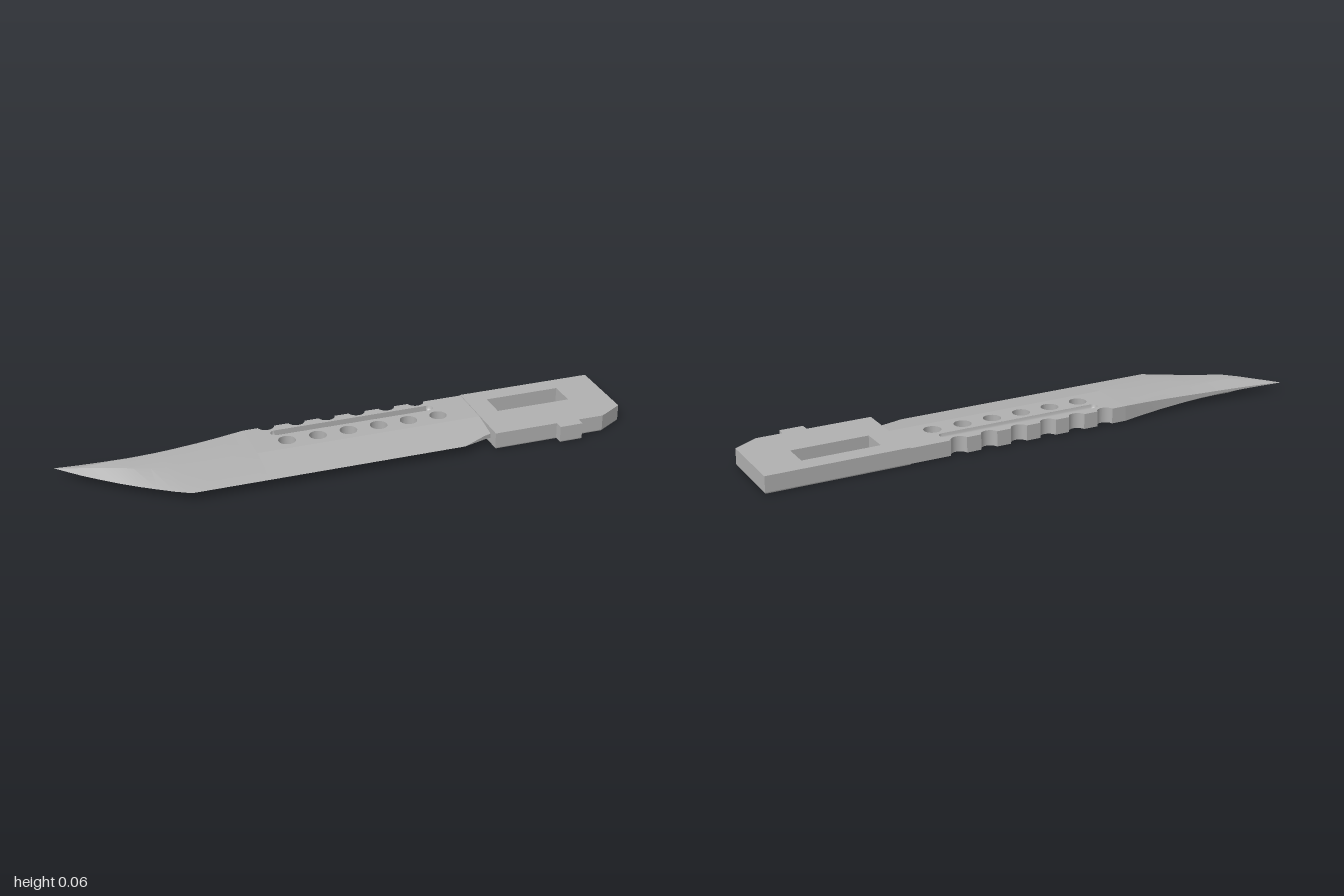
import * as THREE from 'three';
import { toCreasedNormals } from 'three/addons/utils/BufferGeometryUtils.js';

const MID = 0.032;    // height of the cutting edge
const HALF = 0.0275;  // half the blade thickness
const EDGE = 0.146;   // z of the cutting edge
const SPINE = 0.176;  // distance of the spine behind the centre line

// Flat outline (x, -z) raised between two heights
function plate(shape, y0, y1, options = {}) {
  const geo = new THREE.ExtrudeGeometry(shape, {
    depth: y1 - y0, bevelEnabled: false, curveSegments: 24, ...options,
  });
  return geo.rotateX(-Math.PI / 2).translate(0, y0, 0);
}

// Skin through cross-sections; each section is { x, ring: [[z, halfHeight], ...] },
// listed from spine to edge and mirrored to the underside
function loft(sections) {
  const rings = sections.map(({ x, ring }) => [
    ...ring.map(([z, h]) => [x, MID + h, z]),
    ...[...ring].reverse().map(([z, h]) => [x, MID - h, z]),
  ]);
  const pos = [];
  const n = rings[0].length;
  for (let i = 0; i < rings.length - 1; i++) {
    for (let j = 0; j < n; j++) {
      const k = (j + 1) % n;
      const a = rings[i][j], b = rings[i][k], c = rings[i + 1][k], d = rings[i + 1][j];
      pos.push(...a, ...b, ...c, ...a, ...c, ...d);
    }
  }
  const geo = new THREE.BufferGeometry();
  geo.setAttribute('position', new THREE.Float32BufferAttribute(pos, 3));
  return toCreasedNormals(geo, 0.3);
}

// Round-bottomed trough with rounded ends, sunk below y = 0
function trough(x0, x1, z, r) {
  const geo = new THREE.PlaneGeometry(1, 1, 40, 8);
  const p = geo.attributes.position;
  for (let i = 0; i < p.count; i++) {
    const angle = (p.getX(i) + 0.25) * Math.PI * 2;
    const rho = p.getY(i) + 0.5;
    const cx = Math.cos(angle) > 0 ? x1 - r : x0 + r;
    p.setXYZ(i, cx + r * rho * Math.cos(angle),
      -r * Math.sqrt(Math.max(0, 1 - rho * rho)), z + r * rho * Math.sin(angle));
  }
  geo.computeVertexNormals();
  return geo;
}

export function createModel() {
  const group = new THREE.Group();
  const steel = new THREE.MeshStandardMaterial({ color: 0xb0b0b0, side: THREE.DoubleSide });
  steel.name = 'grey steel';
  const add = (name, geo) => {
    const mesh = new THREE.Mesh(geo, steel);
    mesh.name = name;
    group.add(mesh);
    return mesh;
  };

  // Blade body: notched spine, round holes and a long groove
  const body = new THREE.Shape();
  body.moveTo(-0.33, 0);
  body.lineTo(0.5, 0);
  body.lineTo(0.5, SPINE);
  const dip = Math.asin(0.007 / 0.031);
  for (let i = 5; i >= 0; i--) {
    body.absarc(-0.246 + i * 0.113, SPINE + 0.007, 0.031, -dip, -Math.PI + dip, true);
  }
  body.lineTo(-0.33, SPINE);
  body.closePath();
  for (let i = 0; i < 6; i++) {
    body.holes.push(new THREE.Path().absarc(-0.206 + i * 0.113, 0.057, 0.031, 0, Math.PI * 2, true));
  }
  const gx0 = -0.246, gx1 = 0.364, gz = 0.122, gr = 0.018;
  const slot = new THREE.Path();
  slot.absarc(gx1 - gr, gz, gr, -Math.PI / 2, Math.PI / 2, false);
  slot.absarc(gx0 + gr, gz, gr, Math.PI / 2, Math.PI * 1.5, false);
  slot.closePath();
  body.holes.push(slot);
  add('bladeBody', plate(body, MID - HALF, MID + HALF));

  // Groove floors on both faces
  for (const side of [1, -1]) {
    const groove = add(side > 0 ? 'upperGroove' : 'lowerGroove', trough(gx0, gx1, -gz, gr));
    groove.position.y = MID + side * HALF;
    if (side < 0) groove.rotation.x = Math.PI;
    if (side < 0) groove.position.z = -2 * gz;
  }

  // Ground bevel, clipped at an angle near the handle
  const bevel = [[-0.33, EDGE], [0.38, EDGE], [0.47, 0.108], [0.5, 0.1]];
  add('cuttingBevel', loft(bevel.map(([x, z]) => (
    { x, ring: [[0, HALF], [z, HALF * (1 - z / EDGE)]] }))));

  // Clip point: x, spine z, back ridge z, front ridge z, edge z, spine and ridge thickness
  const tip = [
    [-1, -0.176, -0.176, -0.176, -0.176, 0, 0],
    [-0.96, -0.17, -0.15, -0.147, -0.133, 0.04, 0.22],
    [-0.92, -0.165, -0.133, -0.125, -0.092, 0.08, 0.45],
    [-0.865, -0.16, -0.118, -0.09, -0.042, 0.12, 0.75],
    [-0.81, -0.156, -0.112, -0.06, 0.005, 0.16, 1],
    [-0.755, -0.153, -0.11, -0.035, 0.047, 0.2, 1],
    [-0.7, -0.152, -0.112, -0.015, 0.085, 0.26, 1],
    [-0.65, -0.152, -0.116, -0.004, 0.118, 0.33, 1],
    [-0.6, -0.153, -0.122, 0, EDGE, 0.42, 1],
    [-0.5, -0.158, -0.138, 0, EDGE, 0.62, 1],
    [-0.42, -0.165, -0.155, 0, EDGE, 0.8, 1],
    [-0.33, -0.176, -0.1755, 0, EDGE, 1, 1],
  ];
  add('bladeTip', loft(tip.map(([x, spine, back, front, edge, hs, hr]) => (
    { x, ring: [[spine, hs * HALF], [back, hr * HALF], [front, hr * HALF], [edge, 0]] }))));

  // Handle: chamfered corner, small tab and a rectangular slot
  const handle = new THREE.Shape([
    [0.495, -0.145], [0.73, -0.145], [0.73, -0.176], [0.815, -0.176], [0.815, -0.145],
    [0.91, -0.145], [1, -0.091], [1, SPINE], [0.495, SPINE],
  ].map(([x, y]) => new THREE.Vector2(x, y)));
  handle.holes.push(new THREE.Path([
    [0.572, 0.012], [0.572, 0.11], [0.85, 0.11], [0.85, 0.012],
  ].map(([x, y]) => new THREE.Vector2(x, y))));
  const round = 0.006;
  add('handle', plate(handle, round, 0.062));

  // Rounded lower rim of the handle
  add('handleLowerRim', plate(handle, round, round, {
    bevelEnabled: true, bevelThickness: round, bevelSize: round, bevelOffset: -round, bevelSegments: 3,
  }));

  return group;
}
